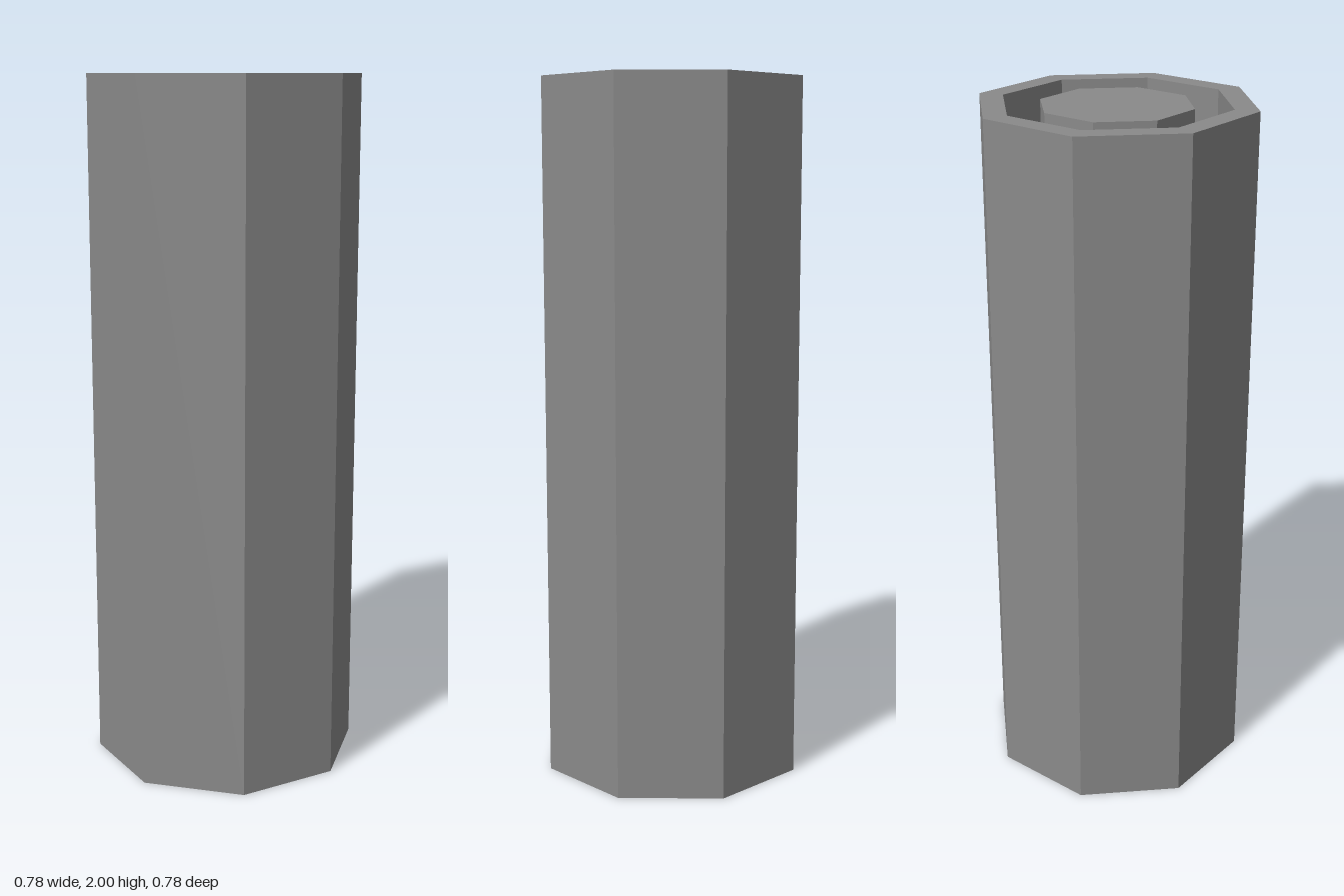
import * as THREE from 'three';

const SIDES = 8;
const HEIGHT = 2;
const FLOOR = 1.87; // bottom of the ring groove
const CORE_TOP = 1.995;
const OUTER = 0.388, INNER = 0.32, CORE = 0.214;

export function createModel() {
  const model = new THREE.Group();
  model.name = 'octagonalColumn';
  const material = new THREE.MeshStandardMaterial({ color: 0x8a8a8a, flatShading: true });

  // Eight-sided solid turned from a [radius, y] profile
  const addTurned = (name, profile) => {
    const points = profile.map(([r, y]) => new THREE.Vector2(r, y));
    const mesh = new THREE.Mesh(new THREE.LatheGeometry(points, SIDES), material);
    mesh.name = name;
    model.add(mesh);
  };

  // Closed base, outer wall, rim and groove floor
  addTurned('casing', [
    [0, 0], [OUTER, 0], [OUTER, HEIGHT], [INNER, HEIGHT], [INNER, FLOOR], [CORE, FLOOR],
  ]);

  // Central plug, just below the rim
  addTurned('core', [[CORE, FLOOR], [CORE, CORE_TOP], [0, CORE_TOP]]);

  return model;
}
